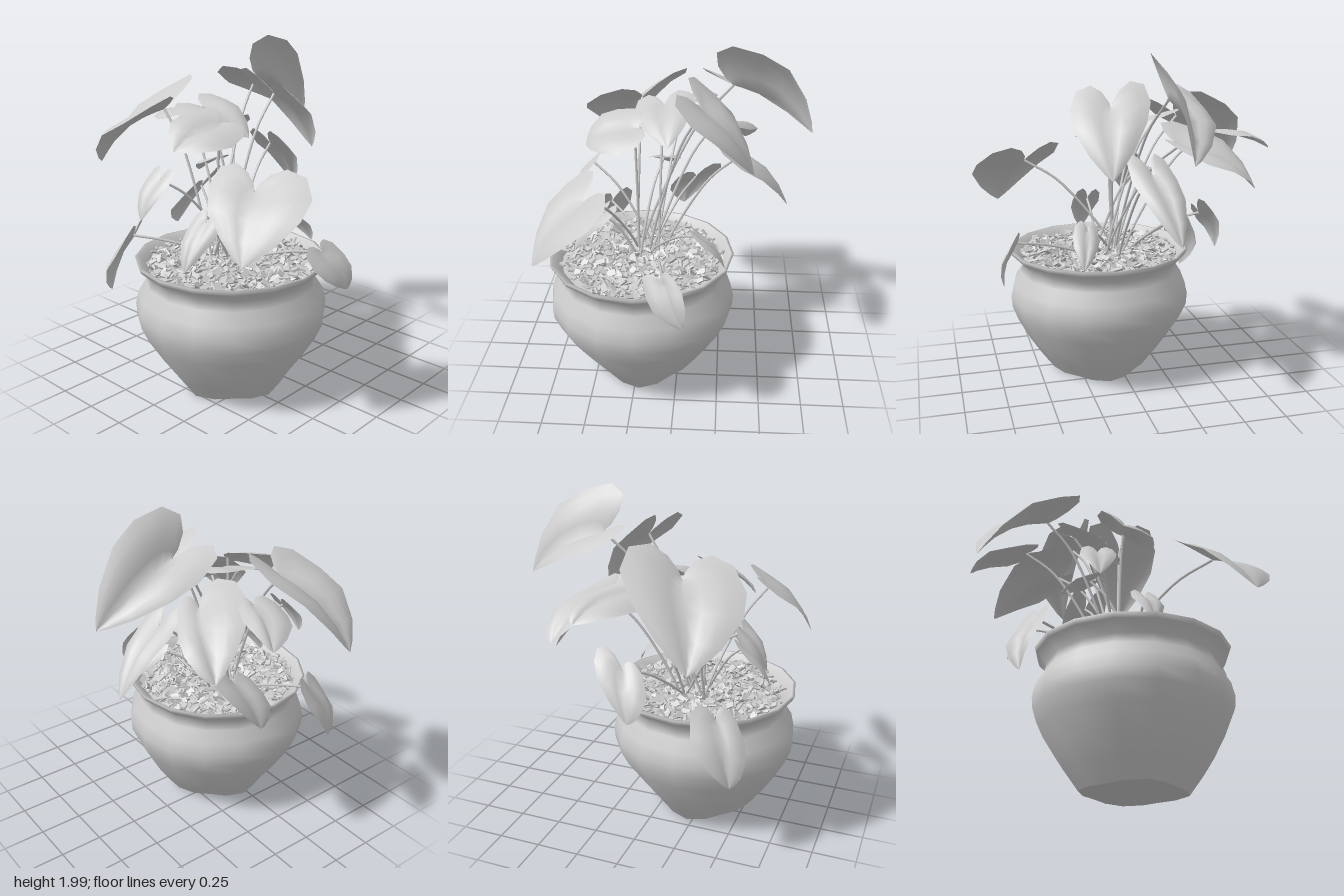
import * as THREE from 'three';
import { mergeGeometries } from 'three/addons/utils/BufferGeometryUtils.js';

const POT_X = 0.105, POT_Z = 0.22;

// Each leaf: stalk joint, tip, widest point on one side, widest point on the other
const upperLeaves = [
  [[-0.17, 1.74, -0.30], [-0.165, 1.46, -0.77], [-0.38, 1.67, -0.28], [-0.05, 1.94, -0.45]],
  [[0.11, 1.68, -0.14], [0.17, 1.33, -0.43], [-0.11, 1.71, -0.17], [0.33, 1.66, -0.07]],
  [[-0.4, 1.58, 0.25], [-0.8, 1.23, 0.42], [-0.36, 1.53, 0.58], [-0.61, 1.66, -0.01]],
  [[0.52, 1.3, 0.48], [0.67, 1.0, 0.74], [0.31, 1.31, 0.59], [0.82, 1.29, 0.39]],
  [[-0.27, 1.47, -0.2], [-0.66, 1.24, -0.39], [-0.44, 1.52, -0.01], [-0.37, 1.38, -0.41]],
  [[-0.5, 1.52, -0.02], [-0.83, 1.43, -0.17], [-0.6, 1.5, -0.18], [-0.62, 1.46, 0.11]],
  [[0.05, 1.55, 0.25], [-0.01, 1.43, 0.54], [-0.13, 1.59, 0.36], [0.22, 1.45, 0.32]],
  [[-0.22, 1.59, 0.1], [0.1, 1.45, 0.06], [-0.22, 1.54, 0.28], [-0.22, 1.61, -0.08]],
];
const lowerLeaves = [
  [[-0.08, 1.33, -0.33], [-0.15, 1.0, -0.65], [-0.21, 1.3, -0.34], [0.05, 1.3, -0.35]],
  [[-0.15, 1.25, 0.52], [-0.16, 1.04, 0.66], [-0.25, 1.23, 0.53], [-0.05, 1.23, 0.54]],
  [[0.13, 1.04, 0.44], [0.14, 0.8, 0.62], [0.04, 1.0, 0.49], [0.23, 1.04, 0.39]],
  [[-0.46, 0.84, 0.47], [-0.55, 0.5, 0.58], [-0.57, 0.78, 0.36], [-0.44, 0.74, 0.62]],
  [[-0.44, 1.04, -0.08], [-0.58, 0.79, 0.0], [-0.46, 1.08, -0.24], [-0.48, 0.95, 0.08]],
  [[0.63, 0.89, 0.05], [0.73, 0.67, -0.06], [0.69, 0.87, -0.06], [0.64, 0.81, 0.14]],
  [[0.25, 0.98, -0.12], [0.3, 0.8, -0.28], [0.19, 0.93, -0.15], [0.34, 0.96, -0.14]],
  [[-0.12, 1.3, 0.1], [-0.3, 1.2, 0.07], [-0.15, 1.28, 0.2], [-0.15, 1.28, 0.0]],
];

// Half outline of a heart shape: [along blade, sideways, matching place on the midrib]
const outline = [
  [-0.1, 0.05, 0], [-0.24, 0.22, 0.02], [-0.32, 0.5, 0.06], [-0.21, 0.85, 0.12],
  [0.1, 1, 0.25], [0.42, 0.88, 0.45], [0.74, 0.52, 0.72], [0.92, 0.2, 0.9], [1, 0, 1],
];

function seededRandom(seed) {
  return () => {
    seed = (seed * 16807) % 2147483647;
    return seed / 2147483647;
  };
}

function leafGeometry(points) {
  const [joint, tip, sideA, sideB] = points.map((p) => new THREE.Vector3(...p));
  const axis = tip.clone().sub(joint);
  const spread = [sideA, sideB].map((s) => s.clone().sub(joint).addScaledVector(axis, -0.1));
  const normal = new THREE.Vector3().crossVectors(spread[1].clone().sub(spread[0]), axis).normalize();
  if (normal.y < 0) normal.negate();
  const length = axis.length(), half = 4, columns = half * 2 + 1;
  const positions = [], index = [];
  outline.forEach(([u, v, rib], i) => {
    for (let j = -half; j <= half; j++) {
      const t = Math.abs(j) / half;
      const along = THREE.MathUtils.lerp(rib, u, t);
      // Arched midrib, with each half swelling gently and drooping at the edge
      const lift = length * (0.1 * Math.sin(Math.PI * Math.max(along, 0)) + 0.06 * v * Math.sin(Math.PI * t));
      const p = joint.clone().addScaledVector(axis, along)
        .addScaledVector(spread[j < 0 ? 0 : 1], v * t).addScaledVector(normal, lift);
      positions.push(p.x, p.y, p.z);
      if (i > 0 && j < half) {
        const a = (i - 1) * columns + j + half, b = a + columns;
        index.push(a, b, a + 1, a + 1, b, b + 1);
      }
    }
  });
  const geometry = new THREE.BufferGeometry();
  geometry.setAttribute('position', new THREE.Float32BufferAttribute(positions, 3));
  geometry.setIndex(index);
  geometry.computeVertexNormals();
  return geometry;
}

// Stalk rising steeply from the soil and bending over to its leaf
function stalkGeometry(joint, random) {
  const end = new THREE.Vector3(...joint);
  const root = new THREE.Vector3(0.05 + (random() - 0.5) * 0.16, 0.72, 0.18 + (random() - 0.5) * 0.16);
  const low = root.clone().lerp(end, 0.22);
  const high = root.clone().lerp(end, 0.65);
  low.y = THREE.MathUtils.lerp(root.y, end.y, 0.33);
  high.y = THREE.MathUtils.lerp(root.y, end.y, 0.8);
  return new THREE.TubeGeometry(new THREE.CatmullRomCurve3([root, low, high, end]), 16, 0.008, 5);
}

// Round-bellied pot with a narrow neck and flared rim; the foot narrows on its diagonals
function potGeometry() {
  const profile = [
    [0, 0], [0.298, 0], [0.3, 0.002], [0.38, 0.11], [0.445, 0.21], [0.515, 0.34], [0.55, 0.43], [0.556, 0.5],
    [0.538, 0.58], [0.492, 0.65], [0.48, 0.705], [0.54, 0.762], [0.552, 0.79], [0.535, 0.792],
    [0.47, 0.73], [0.46, 0.65],
  ].map((p) => new THREE.Vector2(...p));
  const geometry = new THREE.LatheGeometry(profile, 16);
  const position = geometry.attributes.position;
  for (let i = 0; i < position.count; i++) {
    const x = position.getX(i), y = position.getY(i), z = position.getZ(i);
    const diagonal = Math.sin(2 * Math.atan2(z, x)) ** 2;
    const scale = 1 - 0.16 * diagonal * Math.max(0, 1 - y / 0.4);
    position.setXYZ(i, x * scale, y, z * scale);
  }
  return geometry;
}

// Loose bark pieces lying at random angles on the soil
function barkGeometry(random) {
  const pieces = [];
  for (let i = 0; i < 850; i++) {
    const radius = 0.47 * Math.sqrt(random()), angle = random() * Math.PI * 2;
    const piece = new THREE.BoxGeometry(0.03 + random() * 0.035, 0.01, 0.02 + random() * 0.02);
    piece.rotateX((random() - 0.5) * 1.6);
    piece.rotateZ((random() - 0.5) * 1.6);
    piece.rotateY(random() * Math.PI * 2);
    piece.translate(Math.cos(angle) * radius, 0.74 + random() * 0.04, Math.sin(angle) * radius);
    pieces.push(piece);
  }
  return mergeGeometries(pieces);
}

export function createModel() {
  const model = new THREE.Group();
  const clay = new THREE.MeshStandardMaterial({ color: 0xcccccc, side: THREE.DoubleSide });
  clay.name = 'plain grey';
  const random = seededRandom(4711);

  const add = (parent, name, geometry) => {
    const mesh = new THREE.Mesh(geometry, clay);
    mesh.name = name;
    parent.add(mesh);
    return mesh;
  };

  const pot = new THREE.Group();
  pot.name = 'pot';
  pot.position.set(POT_X, 0, POT_Z);
  model.add(pot);
  add(pot, 'potBody', potGeometry());

  const soil = add(pot, 'soil', new THREE.CircleGeometry(0.475, 28).rotateX(-Math.PI / 2));
  soil.position.y = 0.735;
  add(pot, 'barkChips', barkGeometry(random));

  // Leaves, each on its own stalk
  const plant = new THREE.Group();
  plant.name = 'plant';
  model.add(plant);
  for (const points of [...upperLeaves, ...lowerLeaves]) {
    add(plant, 'leaf', leafGeometry(points));
    add(plant, 'stalk', stalkGeometry(points[0], random));
  }
  return model;
}
